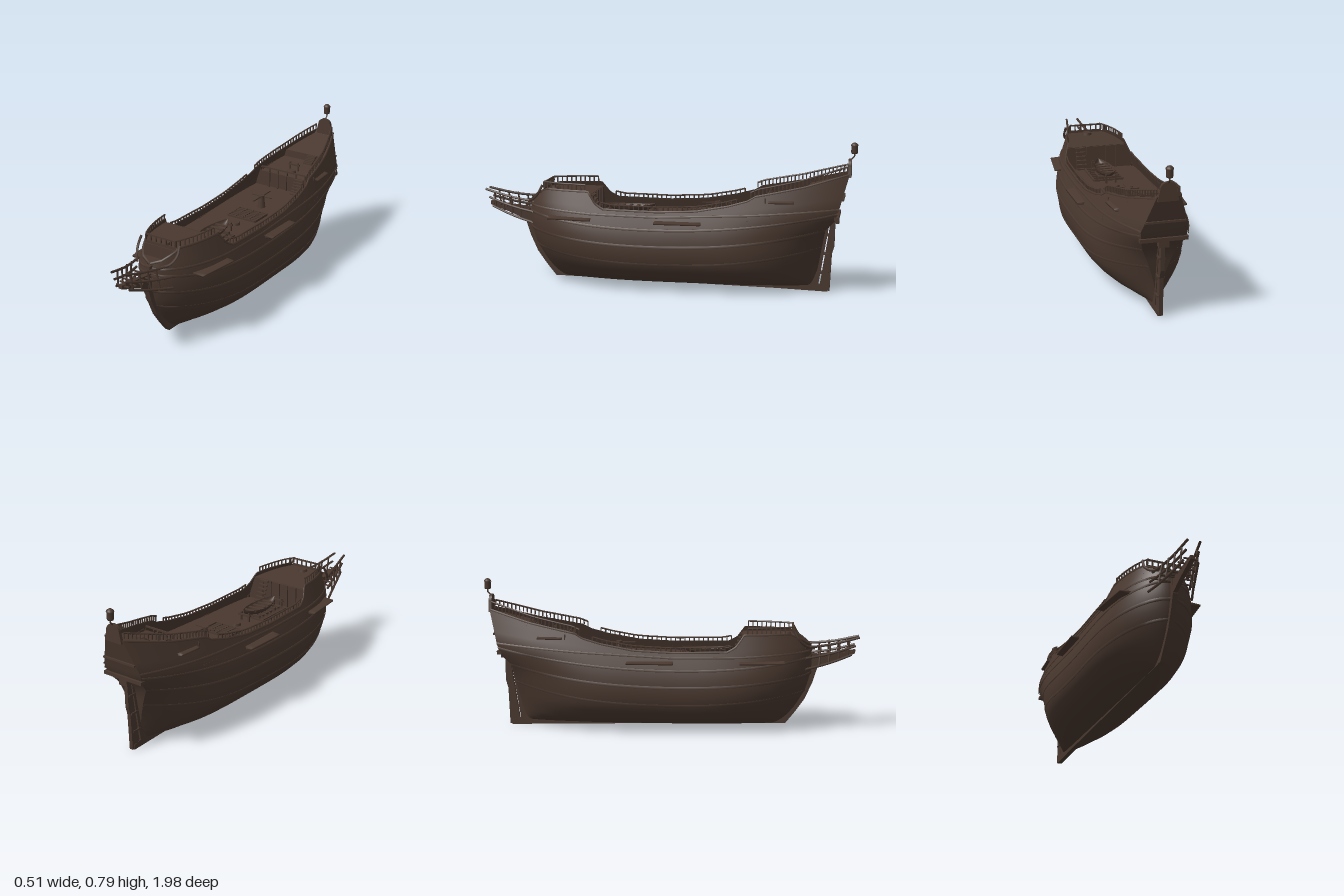
import * as THREE from 'three';

const wood = new THREE.MeshStandardMaterial({ color: 0x49382f, side: THREE.DoubleSide });
wood.name = 'dark wood';

const lerp = THREE.MathUtils.lerp;
// Piecewise linear curve through [x, y] pairs
const curve = (pts) => (x) => {
  if (x <= pts[0][0]) return pts[0][1];
  for (let i = 1; i < pts.length; i++) {
    const [a, b] = [pts[i - 1], pts[i]];
    if (x <= b[0]) return lerp(a[1], b[1], (x - a[0]) / (b[0] - a[0]));
  }
  return pts[pts.length - 1][1];
};

// Hull lines: ends, wale line, sheer, midship section and stern fullness
const sternZ = curve([[0.03, -0.79], [0.34, -0.845], [0.4, -0.9], [0.64, -0.965]]);
const bowZ = curve([[0.03, 0.56], [0.07, 0.61], [0.12, 0.65], [0.2, 0.7], [0.3, 0.733], [0.4, 0.737], [0.46, 0.725], [0.55, 0.7]]);
const mainY = curve([[-0.93, 0.45], [-0.5, 0.42], [0, 0.395], [0.35, 0.4], [0.73, 0.42]]);
const sheerY = curve([[-0.96, 0.64], [-0.72, 0.57], [-0.48, 0.52], [-0.46, 0.5], [-0.36, 0.47], [-0.2, 0.44], [0, 0.43],
  [0.29, 0.435], [0.34, 0.46], [0.4, 0.52], [0.64, 0.52], [0.7, 0.48], [0.73, 0.45]]);
const levels = [0, 0.01, 0.03, 0.08, 0.14, 0.24, 0.34, 0.46, 0.57, 0.73, 0.87, 1];
const widths = [0, 0.25, 0.42, 0.6, 0.73, 0.875, 0.96, 0.985, 1, 0.97, 0.91, 0.845];
const section = curve(levels.map((v, i) => [v, widths[i]]));
const sternFill = curve([[0, 0], [0.3, 0.08], [0.6, 0.25], [0.8, 0.42], [0.92, 0.54], [1, 0.56]]);
const keelY = 0.026;
const nominalZ = (u) => lerp(-0.93, 0.73, u);

function breadth(u, y) {
  const top = mainY(nominalZ(u));
  const v = THREE.MathUtils.clamp((y - keelY) / (top - keelY), 0, 1);
  const b = Math.max(0, (u - 0.6) / 0.4), s = Math.max(0, (0.4 - u) / 0.4);
  const bow = Math.pow(Math.max(0, 1 - Math.pow(Math.min(b, 1), lerp(2.2, 3.6, v))), lerp(0.75, 0.56, v));
  const stern = 1 - (1 - sternFill(v)) * Math.pow(Math.min(s, 1), 2.8);
  const lean = Math.max(0, y - top) * lerp(0.33, 0.34, Math.min(s, 1)) * bow;
  return Math.max(0, 0.242 * section(v) * bow * stern - lean);
}
const hullPoint = (u, y) => new THREE.Vector3(breadth(u, y), y, lerp(sternZ(y), bowZ(y), u));
const halfAt = (z, y) => breadth(THREE.MathUtils.clamp((z - sternZ(y)) / (bowZ(y) - sternZ(y)), 0, 1), y);

// Surface through rows of points
function loft(rows) {
  const n = rows[0].length, pos = [], idx = [];
  rows.forEach((r) => r.forEach((p) => pos.push(p.x, p.y, p.z)));
  for (let i = 0; i < rows.length - 1; i++) for (let j = 0; j < n - 1; j++) {
    const a = i * n + j;
    idx.push(a, a + n, a + 1, a + 1, a + n, a + n + 1);
  }
  const g = new THREE.BufferGeometry();
  g.setAttribute('position', new THREE.Float32BufferAttribute(pos, 3));
  g.setIndex(idx);
  g.computeVertexNormals();
  return g;
}
const mirror = (p) => new THREE.Vector3(-p.x, p.y, p.z);
const range = (n, f) => Array.from({ length: n + 1 }, (_, i) => f(i / n));

export function createModel() {
  const ship = new THREE.Group();
  ship.name = 'sailing ship hull';
  const add = (name, geo, parent = ship) => {
    const m = new THREE.Mesh(geo, wood);
    m.name = name;
    parent.add(m);
    return m;
  };
  const box = (name, w, h, d, x, y, z) => add(name, new THREE.BoxGeometry(w, h, d).translate(x, y, z));
  const cyl = (name, r0, r1, h, x, y, z, n = 12) => add(name, new THREE.CylinderGeometry(r0, r1, h, n).translate(x, y, z));
  const tube = (name, pts, r, n = 24) => add(name, new THREE.TubeGeometry(
    new THREE.CatmullRomCurve3(pts.map((p) => new THREE.Vector3(...p))), n, r, 6));
  const plate = (name, pts, t) => add(name, new THREE.ExtrudeGeometry(
    new THREE.Shape(pts.map((p) => new THREE.Vector2(...p))), { depth: t, bevelEnabled: false }).rotateY(-Math.PI / 2).translate(t / 2, 0, 0));

  // Hull shell and transom
  const profile = (u) => {
    const z = nominalZ(u), m = mainY(z), top = sheerY(z);
    const side = [...levels.map((v) => hullPoint(u, lerp(keelY, m, v))),
      ...[0.33, 0.67, 1].map((s) => hullPoint(u, lerp(m, top, s)))];
    return [...side.slice().reverse(), ...side.slice(1).map(mirror)];
  };
  add('hull', loft(range(110, (t) => profile(t < 0.85 ? t : 1 - Math.pow((1 - t) / 0.15, 1.6) * 0.15))));
  const end = profile(0), half = (end.length + 1) / 2;
  add('transom', loft(end.slice(0, half).map((p) => [p, mirror(p)])));

  // Raised bands running along the planking
  const band = (name, yAt, h, o) => [1, -1].forEach((s) => add(name, loft(range(90, (u) => {
    const y = yAt(nominalZ(u)), front = u > 0.96 ? o : 0;
    const a = hullPoint(u, y + h), b = hullPoint(u, y - h);
    const out = (p) => new THREE.Vector3(p.x + o, p.y, p.z + front);
    return [a, out(a), out(b), b].map((p) => (s > 0 ? p : mirror(p)));
  }))));
  band('lower wale', (z) => 0.155 + 0.1 * z * z, 0.006, 0.003);
  band('middle wale', (z) => 0.25 + 0.1 * z * z, 0.007, 0.004);
  band('upper wale', (z) => 0.335 + 0.11 * z * z, 0.006, 0.004);
  band('top strake', (z) => mainY(z) + 0.004, 0.005, 0.004);
  band('sheer cap', (z) => sheerY(z) - 0.004, 0.005, 0.005);

  // Keel, stem and rudder
  plate('keel', [[0.6, 0.028], [0.5, 0.045], [-0.78, 0.045], [-0.86, 0.025], [-0.86, 0], [-0.6, 0.008]], 0.024);
  plate('stem', [[0.5, 0.05], [0.5, 0.03], [0.6, 0.028], [0.65, 0.09], [0.7, 0.16], [0.74, 0.25], [0.762, 0.32], [0.762, 0.4],
    [0.72, 0.4], [0.7, 0.25], [0.62, 0.12]], 0.026);
  plate('sternpost', [[-0.76, 0.03], [-0.81, 0.03], [-0.862, 0.36], [-0.82, 0.36]], 0.024);
  plate('rudder', [[-0.815, 0.01], [-0.87, 0.004], [-0.878, 0.2], [-0.89, 0.24], [-0.892, 0.36], [-0.868, 0.37]], 0.02);
  box('rudder head housing', 0.05, 0.04, 0.035, 0, 0.385, -0.895);
  box('counter beam', breadth(0, 0.405) * 2 + 0.012, 0.018, 0.024, 0, 0.405, -0.902);
  box('transom moulding', breadth(0, 0.5) * 2, 0.01, 0.012, 0, 0.5, sternZ(0.5) - 0.004);
  [0.1, 0.2, 0.3].forEach((y) => box('rudder hinge', 0.03, 0.01, 0.05, 0, y, -0.825 - y * 0.12));

  // Decks and bulkheads
  const deck = (name, z0, z1, y0, y1) => add(name, loft(range(20, (t) => {
    const z = lerp(z0, z1, t), y = lerp(y0, y1, t), p = new THREE.Vector3(halfAt(z, y), y, z);
    return [mirror(p), p];
  })));
  deck('head deck', 0.62, 0.735, 0.435, 0.435);
  deck('forecastle deck', 0.37, 0.645, 0.495, 0.503);
  deck('main deck', -0.55, 0.38, 0.398, 0.368);
  deck('quarter deck', -0.76, -0.54, 0.513, 0.482);
  deck('poop deck', -0.955, -0.75, 0.607, 0.55);
  const bulkhead = (name, z, y0, y1) => add(name, loft(range(6, (t) => {
    const y = lerp(y0, y1, t), p = new THREE.Vector3(halfAt(z, y), y, z);
    return [mirror(p), p];
  })));
  bulkhead('forecastle front', 0.64, 0.43, 0.518);
  bulkhead('forecastle back', 0.375, 0.365, 0.497);
  bulkhead('quarter deck front', -0.54, 0.39, 0.484);
  bulkhead('poop front', -0.75, 0.505, 0.552);
  [-0.11, -0.055, 0, 0.055, 0.11].forEach((x) => {
    box('bulkhead post', 0.008, 0.125, 0.008, x, 0.432, 0.37);
    box('bulkhead post', 0.008, 0.09, 0.008, x, 0.44, -0.535);
  });

  // Railings along both sides
  const railing = (name, z0, z1, h, n) => [1, -1].forEach((s) => {
    const at = (t, dy) => {
      const z = lerp(z0, z1, t), y = sheerY(z);
      return [s * (halfAt(z, y) - dy * 0.25), y + dy, z];
    };
    tube(name + ' handrail', range(12, (t) => at(t, h)), 0.0045, 36);
    range(n, (t) => {
      const [x, y, z] = at(t, h / 2);
      box(name + ' baluster', 0.006, h, 0.006, x, y, z);
    });
  });
  railing('forecastle', 0.4, 0.64, 0.03, 10);
  railing('waist', -0.4, 0.31, 0.02, 28);
  railing('poop', -0.95, -0.47, 0.028, 24);
  const cross = (name, z, y, h) => {
    const w = halfAt(z, y) - 0.004;
    box(name + ' rail', w * 2, 0.008, 0.008, 0, y + h, z);
    range(6, (t) => box(name + ' rail post', 0.006, h, 0.006, lerp(-w, w, t), y + h / 2, z));
  };
  cross('forecastle front', 0.635, 0.518, 0.03);
  cross('quarter deck', -0.545, 0.482, 0.025);

  // Beakhead: centre knee, side rails narrowing upwards, and cross slats
  plate('beak knee', [[0.71, 0.31], [0.76, 0.325], [0.85, 0.365], [0.96, 0.405], [0.96, 0.425], [0.85, 0.41], [0.72, 0.395]], 0.022);
  const railX = (z, w = 0.11) => lerp(w, 0.032, Math.pow(Math.min((z - 0.7) / 0.26, 1), 0.9));
  const tiers = [[0.335, 0.41, 0.115], [0.39, 0.448, 0.105], [0.445, 0.487, 0.09]];
  [1, -1].forEach((s) => {
    tiers.forEach(([a, b, w], i) => tube('beak rail', [0.7, 0.78, 0.86, 0.94 + i * 0.02].map((z) =>
      [s * railX(z, w), lerp(a, b, (z - 0.7) / 0.26) - 0.008 * Math.sin((z - 0.7) * 12), z]), 0.0065));
    [0.77, 0.82, 0.87, 0.92].forEach((z) => {
      const t = (z - 0.7) / 0.26;
      tube('beak upright', [[s * railX(z, 0.115), lerp(0.335, 0.41, t), z], [s * railX(z, 0.09), lerp(0.445, 0.487, t), z + 0.008]], 0.005, 2);
    });
    tube('head knee', [[s * 0.115, 0.535, 0.64], [s * 0.118, 0.49, 0.665], [s * 0.1, 0.455, 0.7], [s * 0.07, 0.445, 0.735]], 0.007);
  });
  [0.74, 0.78, 0.82, 0.86, 0.9, 0.94].forEach((z) =>
    box('beak slat', railX(z) * 2, 0.006, 0.008, 0, 0.39 + (z - 0.74) * 0.12, z));
  box('hawse block', 0.03, 0.016, 0.03, 0, 0.432, 0.735);

  // Channels: shelves that follow the ship sides, x0 and x1 being their outer ends
  const channel = (z0, z1, y, x0, x1) => [1, -1].forEach((s) => add('channel shelf', loft([0, ...range(8, (t) => t), 1].map((t, i) => {
    const z = lerp(z0, z1, t), inner = halfAt(z, y) - 0.006;
    const outer = i === 0 || i === 10 ? inner : lerp(x0, x1, t);
    return [[inner, 0.008], [outer, 0.004], [outer, -0.004], [inner, -0.008], [inner, 0.008]].map(([x, dy]) => new THREE.Vector3(s * x, y + dy, z));
  }))));
  channel(0.36, 0.59, 0.377, 0.242, 0.215);
  channel(-0.22, 0.02, 0.375, 0.25, 0.255);
  channel(-0.69, -0.56, 0.49, 0.18, 0.19);

  // Taffrail and stern lantern
  const crest = new THREE.Shape();
  crest.moveTo(-0.052, 0.61).lineTo(0.052, 0.61).lineTo(0.04, 0.665).quadraticCurveTo(0.036, 0.702, 0, 0.702).quadraticCurveTo(-0.036, 0.702, -0.04, 0.665);
  add('taffrail', new THREE.ExtrudeGeometry(crest, { depth: 0.016, bevelEnabled: false }).translate(0, 0, -0.968));
  tube('lantern arm', [[0, 0.69, -0.955], [0, 0.705, -0.972], [0, 0.715, -0.98], [0, 0.733, -0.981]], 0.004);
  const lantern = [[0, 0.728], [0.015, 0.728], [0.017, 0.735], [0.017, 0.766], [0.02, 0.768], [0.018, 0.775], [0.01, 0.782], [0, 0.786]];
  add('stern lantern', new THREE.LatheGeometry(lantern.map((p) => new THREE.Vector2(...p)), 14)).position.z = -0.98;

  // Deck gratings
  const grating = (z0, z1, w, y) => {
    range(4, (t) => box('grating bar', 0.008, 0.012, z1 - z0, lerp(-w, w, t), y, (z0 + z1) / 2));
    range(6, (t) => box('grating slat', w * 2, 0.01, 0.007, 0, y, lerp(z0, z1, t)));
  };
  grating(-0.2, -0.08, 0.085, 0.393);
  grating(0.11, 0.32, 0.08, 0.382);

  // Ship's boat
  const boat = new THREE.Group();
  boat.name = 'boat';
  boat.position.set(0, 0.425, 0.19);
  ship.add(boat);
  add('boat hull', loft(range(20, (t) => {
    const k = Math.pow(Math.sin(Math.PI * t), 0.7), z = lerp(-0.14, 0.14, t);
    return range(10, (a) => new THREE.Vector3(0.05 * k * Math.cos(Math.PI * a), -0.035 * Math.sin(Math.PI * a) * Math.sqrt(k) + 0.6 * z * z, z));
  })), boat);
  [-0.08, -0.04, 0, 0.04, 0.08].forEach((z) => add('boat seat', new THREE.BoxGeometry(0.075, 0.005, 0.014).translate(0, -0.004, z), boat));
  [0.12, 0.26].forEach((z) => box('boat chock', 0.11, 0.014, 0.012, 0, 0.394, z));

  // Capstan, mast collars and bitts
  cyl('capstan', 0.014, 0.022, 0.06, 0, 0.418, -0.28, 10);
  cyl('capstan head', 0.018, 0.018, 0.014, 0, 0.452, -0.28, 10);
  box('capstan bar', 0.006, 0.006, 0.17, 0, 0.452, -0.28);
  box('capstan bar', 0.12, 0.006, 0.006, 0, 0.452, -0.28);
  [[-0.02, 0.387], [0.6, 0.507], [-0.59, 0.496]].forEach(([z, y]) => cyl('mast collar', 0.024, 0.027, 0.014, 0, y, z, 16));
  [[-0.62, 0.515], [0.06, 0.4], [0.36, 0.39]].forEach(([z, y]) => {
    [-0.026, 0.026].forEach((x) => box('bitt post', 0.009, 0.05, 0.009, x, y, z));
    box('bitt crossbar', 0.07, 0.009, 0.01, 0, y + 0.012, z);
  });

  // Stairs between decks
  const stairs = (x, z, y0, y1, dir) => range(5, (t) =>
    box('stair tread', 0.055, 0.007, 0.014, x, lerp(y0, y1, t), z + dir * (1 - t) * 0.045));
  stairs(0.095, 0.365, 0.385, 0.49, -1);
  stairs(0.085, -0.53, 0.41, 0.478, 1);
  stairs(0.045, -0.74, 0.518, 0.548, 1);

  return ship;
}
